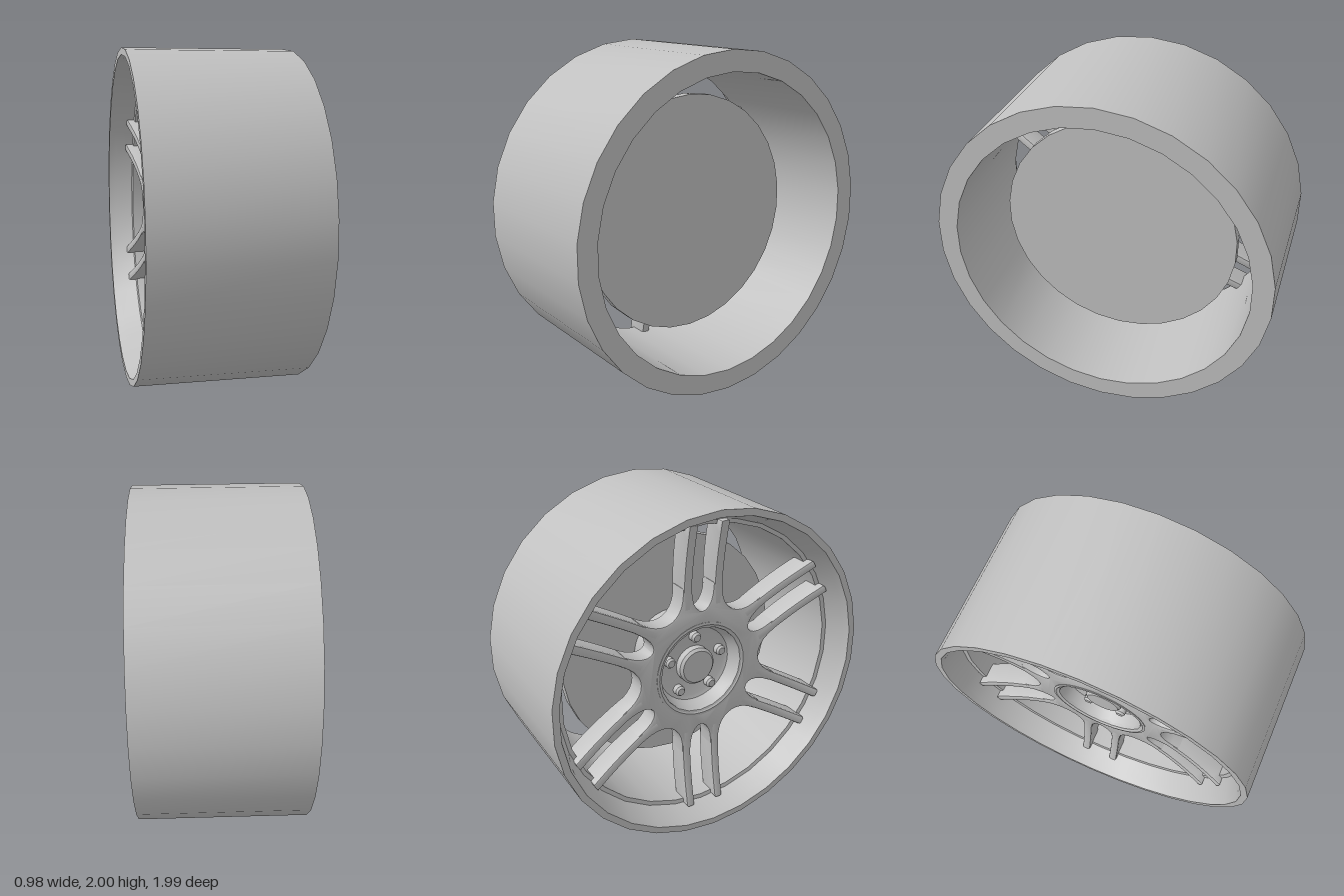
import * as THREE from 'three';
import { toCreasedNormals } from 'three/addons/utils/BufferGeometryUtils.js';

const metal = new THREE.MeshStandardMaterial({ color: 0xc0c0c0 });
metal.name = 'silver metal';

function part(name, geometry, parent) {
  const mesh = new THREE.Mesh(toCreasedNormals(geometry, 0.6), metal);
  mesh.name = name;
  parent.add(mesh);
  return mesh;
}

// Profile points are [radius, height along the axle], running counterclockwise.
function turned(name, profile, segments, parent) {
  const points = profile.map(([r, h]) => new THREE.Vector2(r, h));
  return part(name, new THREE.LatheGeometry(points, segments, Math.PI / 2), parent);
}

// Star-shaped hub plate with a rounded slot in every spoke pair.
function hubGeometry() {
  const shape = new THREE.Shape();
  const at = (k, r, o) => {
    const a = (k * Math.PI) / 3;
    return [r * Math.cos(a) - o * Math.sin(a), r * Math.sin(a) + o * Math.cos(a)];
  };
  shape.moveTo(...at(0, 0.52, -0.12));
  for (let k = 0; k < 6; k++) {
    shape.lineTo(...at(k, 0.52, -0.08));
    shape.bezierCurveTo(...at(k, 0.31, -0.08), ...at(k, 0.31, 0.08), ...at(k, 0.52, 0.08));
    shape.lineTo(...at(k, 0.52, 0.12));
    shape.bezierCurveTo(...at(k, 0.34, 0.11), ...at(k + 1, 0.34, -0.11), ...at(k + 1, 0.52, -0.12));
  }
  const hole = new THREE.Path();
  hole.absarc(0, 0, 0.275, 0, Math.PI * 2, true);
  shape.holes.push(hole);
  const geo = new THREE.ExtrudeGeometry(shape, {
    depth: 0.1, bevelThickness: 0.012, bevelSize: 0.01, bevelSegments: 2, curveSegments: 10,
  });
  return geo.rotateX(-Math.PI / 2).translate(0, 0.21, 0);
}

// Side outline of one dished spoke, extruded across its width.
function spokeGeometry() {
  const s = new THREE.Shape();
  s.moveTo(0.4, 0.2);
  s.quadraticCurveTo(0.68, 0.19, 0.89, 0.25);
  s.lineTo(0.89, 0.37);
  s.quadraticCurveTo(0.64, 0.31, 0.4, 0.31);
  s.closePath();
  const geo = new THREE.ExtrudeGeometry(s, {
    depth: 0.03, bevelThickness: 0.012, bevelSize: 0.012, bevelSegments: 2, curveSegments: 8,
  });
  return geo.translate(0, 0, -0.015);
}

export function createModel() {
  const model = new THREE.Group();
  model.name = 'wheel';

  // Built with the axle along y, then turned so the spoked face looks to -x.
  const wheel = new THREE.Group();
  wheel.name = 'wheelAssembly';
  wheel.rotation.z = Math.PI / 2;
  wheel.position.y = 1;
  model.add(wheel);

  // Barrel with a stepped lip on the spoked side
  turned('barrel', [
    [0.88, -0.49], [1, -0.49], [1, 0.49], [0.96, 0.49], [0.945, 0.445],
    [0.905, 0.335], [0.88, 0.33], [0.88, -0.49],
  ], 30, wheel);

  // Brake disc and the carrier that joins it to the hub
  turned('brakeDisc', [[0, -0.11], [0.72, -0.11], [0.72, -0.05], [0, -0.05]], 30, wheel);
  turned('discCarrier', [[0.25, -0.06], [0.25, 0.06], [0.2, 0.1], [0.2, 0.21]], 30, wheel);

  // Hub with recessed bowl
  part('hub', hubGeometry(), wheel);
  turned('hubBowl', [
    [0, 0.18], [0.28, 0.18], [0.3, 0.326], [0.285, 0.328], [0.268, 0.315],
    [0.25, 0.26], [0.235, 0.232], [0.21, 0.222], [0, 0.222],
  ], 36, wheel);
  turned('centreCap', [[0.115, 0.21], [0.115, 0.265], [0.1, 0.28], [0, 0.28]], 30, wheel);

  // Five wheel bolts
  for (let i = 0; i < 5; i++) {
    const a = (i * Math.PI * 2) / 5;
    const bolt = turned('wheelBolt', [[0.032, 0.21], [0.032, 0.255], [0.022, 0.268], [0, 0.268]], 12, wheel);
    bolt.position.set(Math.cos(a) * 0.18, 0, Math.sin(a) * 0.18);
  }

  // Six pairs of parallel spokes
  const spoke = spokeGeometry();
  for (let k = 0; k < 6; k++) {
    const pair = new THREE.Group();
    pair.name = 'spokePair';
    pair.rotation.y = (k * Math.PI) / 3;
    wheel.add(pair);
    for (const side of [-1, 1]) part('spoke', spoke, pair).position.z = side * 0.1;
  }
  return model;
}
